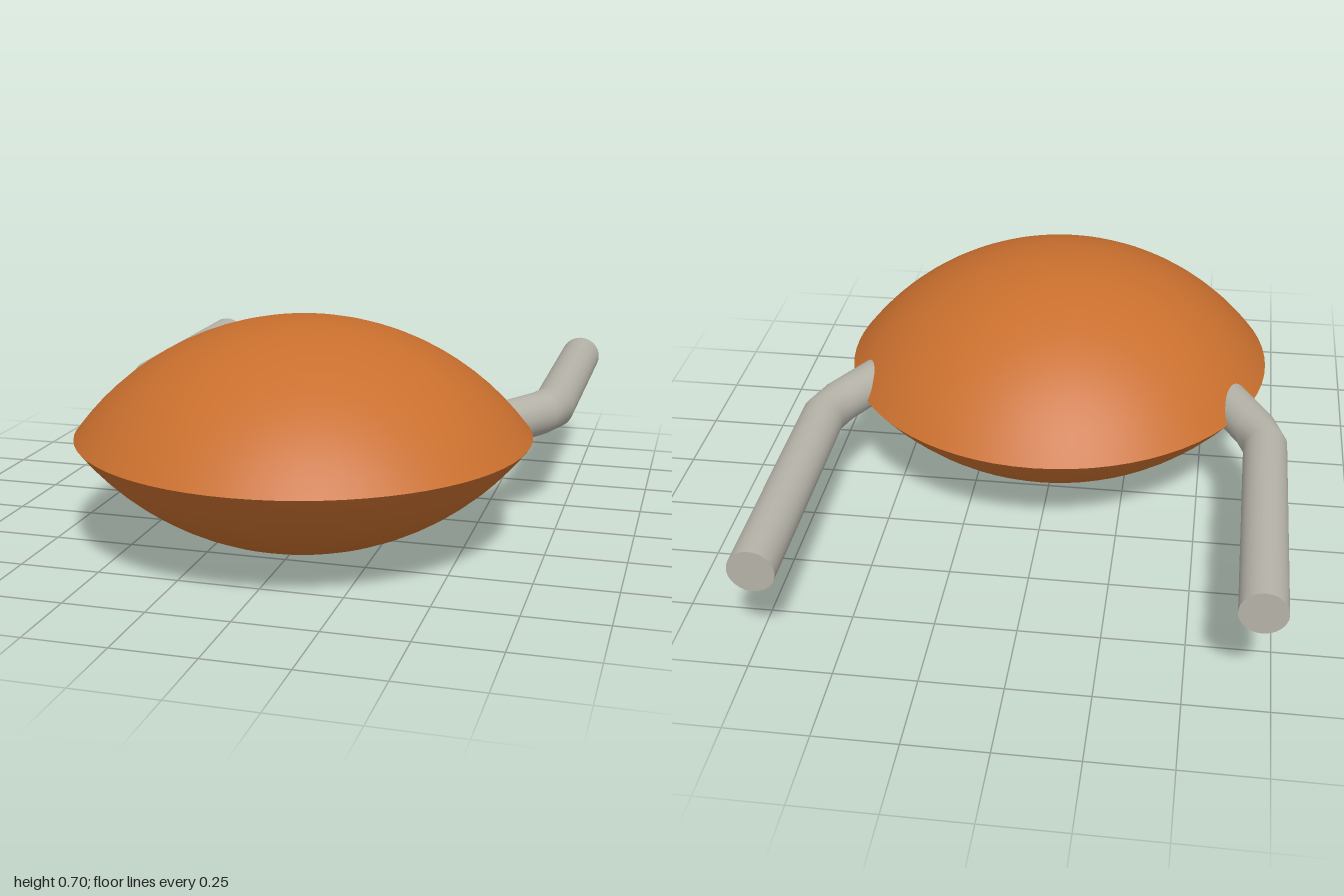
import * as THREE from 'three';

const RIM = 0.703, HALF_HEIGHT = 0.352, MID_Y = 0.354, BODY_Z = 0.297;

// One domed half of the lens body: a spherical cap turned about y
function domeGeometry(up) {
  const R = (RIM * RIM + HALF_HEIGHT * HALF_HEIGHT) / (2 * HALF_HEIGHT);
  const maxAngle = Math.asin(RIM / R);
  const points = [];
  for (let i = 0; i <= 14; i++) {
    const a = maxAngle * (1 - i / 14);
    points.push(new THREE.Vector2(Math.max(R * Math.sin(a), 0), up * (R * Math.cos(a) - R + HALF_HEIGHT)));
  }
  if (up < 0) points.reverse();
  return new THREE.LatheGeometry(points, 72);
}

// Bent round bar: the rows of a cylinder are moved onto a mitred path
function armGeometry(side) {
  const radius = 0.069;
  const path = [ // x, z, turn of the cross-section in degrees
    [0.705, -1, 0],
    [0.705, -0.2, 9],
    [0.672, -0.105, 25],
    [0.54, 0.125, 30],
  ];
  const geo = new THREE.CylinderGeometry(radius, radius, 1, 32, path.length - 1);
  const pos = geo.attributes.position;
  for (let i = 0; i < pos.count; i++) {
    const row = Math.round((pos.getY(i) + 0.5) * (path.length - 1));
    const [x, z, deg] = path[row];
    const a = THREE.MathUtils.degToRad(deg);
    const across = pos.getX(i);
    pos.setXYZ(i, side * x + across * Math.cos(a), MID_Y - pos.getZ(i), z + side * across * Math.sin(a));
  }
  geo.computeVertexNormals();
  return geo;
}

export function createModel() {
  const model = new THREE.Group();
  const orange = new THREE.MeshStandardMaterial({ color: 0xc96f2e });
  orange.name = 'orange';
  const grey = new THREE.MeshStandardMaterial({ color: 0xb5b3a8 });
  grey.name = 'warm grey';

  // Lens body in two halves with a sharp rim
  for (const [name, up] of [['upperDome', 1], ['lowerDome', -1]]) {
    const dome = new THREE.Mesh(domeGeometry(up), orange);
    dome.name = name;
    dome.position.set(0, MID_Y, BODY_Z);
    model.add(dome);
  }

  // Two arms running back from the sides
  for (const [name, side] of [['leftArm', 1], ['rightArm', -1]]) {
    const arm = new THREE.Mesh(armGeometry(side), grey);
    arm.name = name;
    model.add(arm);
  }
  return model;
}
